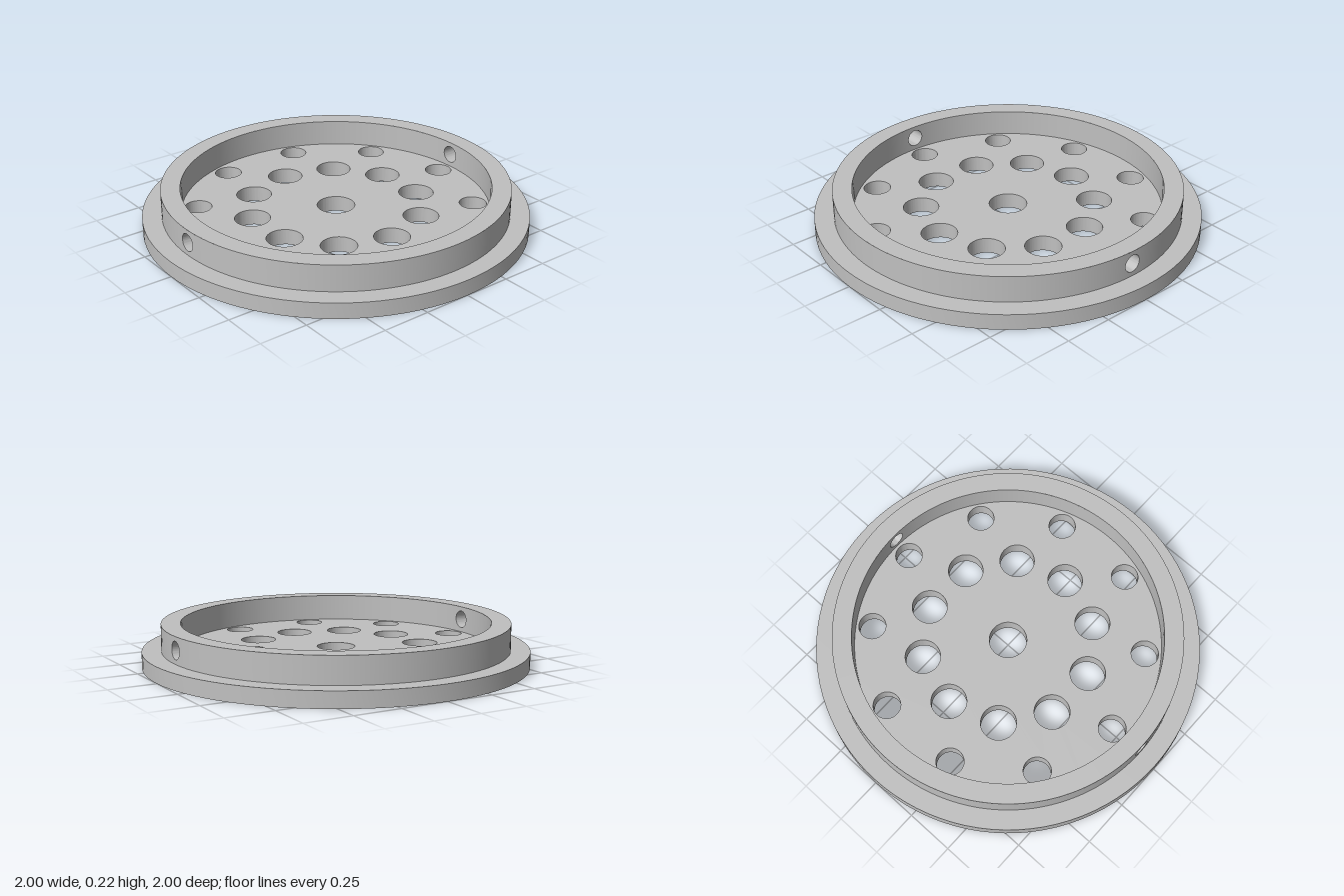
import * as THREE from 'three';
import { toCreasedNormals } from 'three/addons/utils/BufferGeometryUtils.js';

const BASE_H = 0.083, TOP = 0.222;   // flange thickness, overall height
const R_OUT = 0.9, R_IN = 0.8;       // raised wall radii
const HOLE_R = 0.046;                // cross hole through the wall
const PATCH = 0.09;                  // half angle of the wall piece around a cross hole

const circle = (shape, x, y, r) => shape.absarc(x, y, r, 0, Math.PI * 2, false);

// Round plate with a centre hole and two rings of ten holes
function plateGeometry() {
  const plate = circle(new THREE.Shape(), 0, 0, 1);
  const drill = (x, y, r) => plate.holes.push(circle(new THREE.Path(), x, y, r));
  drill(0, 0, 0.098);
  for (let i = 0; i < 10; i++) {
    const a = (i * Math.PI) / 5;
    drill(0.452 * Math.sin(a), 0.452 * Math.cos(a), 0.092);
    drill(0.715 * Math.cos(a), 0.715 * Math.sin(a), 0.071);
  }
  const geo = new THREE.ExtrudeGeometry(plate, { depth: BASE_H, bevelEnabled: false, curveSegments: 48 });
  geo.rotateX(-Math.PI / 2);
  return toCreasedNormals(geo, 0.5);
}

// Curved wall piece pierced by a straight hole: inner face, hole lining, outer face in one sweep
function piercedGeometry() {
  const n = 64, steps = 4, mid = (BASE_H + TOP) / 2, half = (TOP - BASE_H) / 2;
  const rows = [];
  for (let k = steps; k >= 0; k--) rows.push([R_IN, k / steps]);
  for (let k = 0; k <= steps; k++) rows.push([R_OUT, k / steps]);
  const pos = [], idx = [];
  rows.forEach(([R, k], row) => {
    for (let j = 0; j < n; j++) {
      const t = (j / n) * Math.PI * 2, c = Math.cos(t), s = Math.sin(t);
      const m = Math.max(Math.abs(c), Math.abs(s));
      const u = THREE.MathUtils.lerp(Math.asin((HOLE_R * c) / R), (PATCH * c) / m, k);
      const y = THREE.MathUtils.lerp(HOLE_R * s, (half * s) / m, k);
      pos.push(R * Math.cos(u), mid + y, -R * Math.sin(u));
      if (row === 0) continue;
      const a = (row - 1) * n + j, d = (row - 1) * n + ((j + 1) % n);
      idx.push(a, a + n, d + n, a, d + n, d);
    }
  });
  const geo = new THREE.BufferGeometry();
  geo.setAttribute('position', new THREE.Float32BufferAttribute(pos, 3));
  geo.setIndex(idx);
  return toCreasedNormals(geo, 0.5);
}

export function createModel() {
  const group = new THREE.Group();
  const grey = new THREE.MeshStandardMaterial({ color: 0xc0c0c0 });
  grey.name = 'plain grey';
  const add = (name, geo, turn = 0) => {
    const mesh = new THREE.Mesh(geo, grey);
    mesh.name = name;
    mesh.rotation.y = turn;
    group.add(mesh);
  };
  const lathe = (pts, segs, start, length) =>
    new THREE.LatheGeometry(pts.map(([x, y]) => new THREE.Vector2(x, y)), segs, start, length);

  add('perforatedPlate', plateGeometry());
  add('wallTop', lathe([[R_OUT, TOP], [R_IN, TOP]], 128, 0, Math.PI * 2));

  // Each half: long plain arc plus one pierced piece
  const start = Math.PI / 2 + PATCH, length = Math.PI - 2 * PATCH;
  const outer = lathe([[R_OUT, BASE_H], [R_OUT, TOP]], 64, start, length);
  const inner = lathe([[R_IN, TOP], [R_IN, BASE_H]], 64, start, length);
  const pierced = piercedGeometry();
  for (const turn of [0, Math.PI]) {
    add('wallOuterFace', outer, turn);
    add('wallInnerFace', inner, turn);
    add('wallCrossHole', pierced, turn);
  }
  return group;
}
